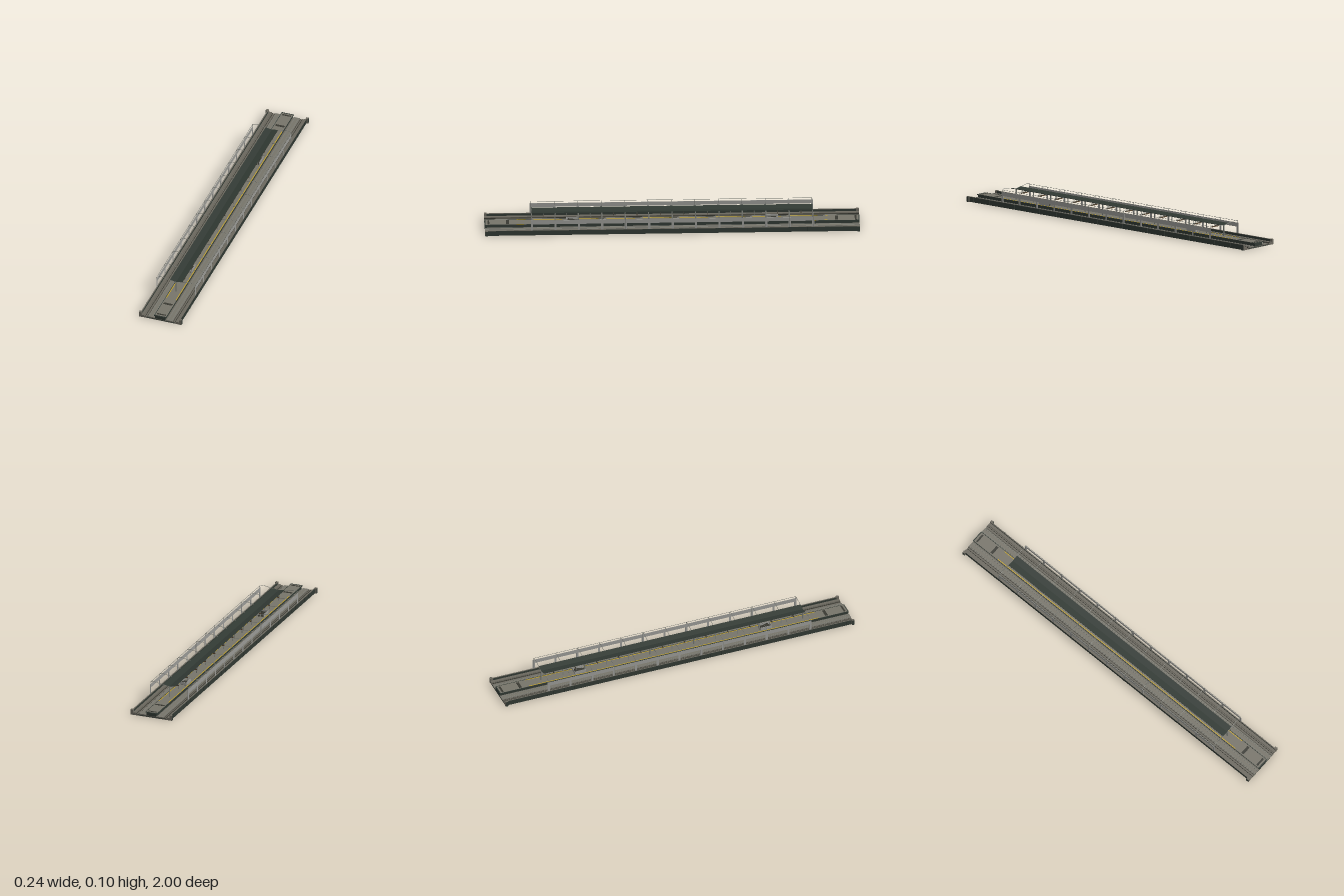
import * as THREE from 'three';

const paint = (name, color) => {
  const m = new THREE.MeshStandardMaterial({ color, side: THREE.DoubleSide });
  m.name = name;
  return m;
};

export function createModel() {
  const concrete = paint('concrete', 0x6b685e);
  const paleConcrete = paint('pale concrete', 0x77746a);
  const green = paint('dark green steel', 0x313933);
  const dark = paint('dark grey', 0x393932);
  const steel = paint('grey steel', 0x7d7f78);
  const panel = paint('pale panel', 0x989894);
  const yellow = paint('safety yellow', 0xd0aa1c);
  const brown = paint('sign brown', 0x5a4630);

  const model = new THREE.Group();
  model.name = 'elevatedStation';

  // Box given by its limits on each axis
  const box = (name, mat, x0, x1, y0, y1, z0, z1, parent = model) => {
    const mesh = new THREE.Mesh(new THREE.BoxGeometry(Math.abs(x1 - x0), y1 - y0, Math.abs(z1 - z0)), mat);
    mesh.position.set((x0 + x1) / 2, (y0 + y1) / 2, (z0 + z1) / 2);
    mesh.name = name;
    parent.add(mesh);
    return mesh;
  };
  const group = (name) => {
    const g = new THREE.Group();
    g.name = name;
    model.add(g);
    return g;
  };

  const HALF = 0.75;   // half length of the roofed part
  const BAY = 0.125;
  const frames = Array.from({ length: 13 }, (_, i) => -HALF + i * BAY);

  // Viaduct deck with girder panels on the soffit
  const deck = group('viaductDeck');
  box('deckSlab', concrete, -0.11, 0.11, 0.002, 0.009, -0.998, 0.998, deck);
  for (let i = 0; i < 16; i++) {
    const z = -0.9375 + i * 0.125;
    box('soffitRib', dark, -0.025, 0.025, 0.0008, 0.002, z - 0.006, z + 0.006, deck);
  }
  for (const s of [-1, 1]) {
    box('soffitGirder', dark, s * 0.025, s * 0.028, 0.0008, 0.002, -0.98, 0.98, deck);
  }
  for (const e of [-1, 1]) {
    box('endSill', concrete, -0.12, 0.12, 0, 0.009, e * 0.985, e * 0.999, deck);
    box('endSillBand', green, -0.08, 0.08, 0.0025, 0.006, e * 0.999, e, deck);
  }

  for (const s of [-1, 1]) {
    // Parapet wall, ribbed outside, with end pillars
    const wall = group(s > 0 ? 'leftParapet' : 'rightParapet');
    box('parapetWall', green, s * 0.107, s * 0.111, 0, 0.027, -0.99, 0.99, wall);
    box('parapetCap', concrete, s * 0.106, s * 0.1115, 0.027, 0.0285, -0.99, 0.99, wall);
    for (let i = 0; i < 33; i++) {
      const z = -0.96 + i * 0.06;
      box('parapetRib', green, s * 0.111, s * 0.1125, 0.002, 0.027, z - 0.002, z + 0.002, wall);
    }
    for (const e of [-1, 1]) {
      box('endPillar', concrete, s * 0.106, s * 0.12, 0, 0.0285, e * 0.985, e, wall);
      box('pillarFace', green, s * 0.12, s * 0.1203, 0, 0.0285, e * 0.985, e, wall);
    }

    // Service walkway and track bed with two running rails and a power rail
    const track = group(s > 0 ? 'leftTrack' : 'rightTrack');
    box('walkway', concrete, s * 0.091, s * 0.107, 0.009, 0.0145, -1, 1, track);
    box('trackBed', paleConcrete, s * 0.036, s * 0.07, 0.009, 0.0125, -1, 1, track);
    box('drain', dark, s * 0.0715, s * 0.0735, 0.009, 0.0098, -1, 1, track);
    for (const x of [0.042, 0.063]) {
      box('rail', steel, s * x, s * (x + 0.002), 0.0125, 0.0145, -1, 1, track);
    }
    box('powerRail', dark, s * 0.083, s * 0.0845, 0.009, 0.013, -1, 1, track);
  }

  // Island platform with yellow safety lines
  const platform = group('platform');
  box('platformCore', green, -0.028, 0.028, 0.009, 0.024, -1, 1, platform);
  box('platformEdge', green, -0.034, 0.034, 0.024, 0.0265, -1, 1, platform);
  box('platformFloor', paleConcrete, -0.0335, 0.0335, 0.0265, 0.0275, -0.998, 0.998, platform);
  for (const s of [-1, 1]) {
    box('edgeStripe', yellow, s * 0.0262, s * 0.0298, 0.0275, 0.0281, -0.83, 0.83, platform);
    box('edgeKerb', green, s * 0.0315, s * 0.0342, 0.0265, 0.0281, -1, 1, platform);
  }
  for (const e of [-1, 1]) {
    box('floorGrate', dark, -0.025, 0.025, 0.0275, 0.0281, e * 0.87, e * 0.885, platform);
    box('endGrate', dark, -0.025, 0.025, 0.0275, 0.0281, e * 0.975, e * 0.985, platform);
    box('endGuard', green, -0.034, 0.034, 0.0275, 0.0285, e * 0.995, e, platform);
  }

  // Stair enclosures: low walls around an open well
  for (const e of [-1, 1]) {
    const stair = group('stairEnclosure');
    const z0 = e * 0.5, z1 = e * 0.565;
    box('stairWell', dark, -0.018, 0.018, 0.0275, 0.0282, z0, z1, stair);
    for (const s of [-1, 1]) box('stairSide', panel, s * 0.018, s * 0.02, 0.0275, 0.044, z0, z1, stair);
    box('stairBack', panel, -0.018, 0.018, 0.0275, 0.044, z1 - e * 0.002, z1, stair);
    for (let i = 0; i < 5; i++) {
      const z = z0 + e * (0.01 + i * 0.009);
      box('stairStep', dark, -0.018, 0.018, 0.0282, 0.03 + i * 0.0018, z, z + e * 0.009, stair);
    }
  }

  // V-shaped canopy with pale gable ends
  const roof = new THREE.Shape([
    [-0.035, 0.0945], [0, 0.0875], [0.035, 0.0945], [0.035, 0.092], [0, 0.085], [-0.035, 0.092],
  ].map(([x, y]) => new THREE.Vector2(x, y)));
  const canopy = new THREE.Mesh(
    new THREE.ExtrudeGeometry(roof, { depth: HALF * 2, bevelEnabled: false }).translate(0, 0, -HALF),
    [steel, green]);
  canopy.name = 'canopy';
  model.add(canopy);

  // Portal frames: side posts bending over to the canopy, and a centre post
  const portals = group('portalFrames');
  const armPath = (s) => {
    const v = (x, y) => new THREE.Vector3(s * x, y, 0);
    const path = new THREE.CurvePath();
    path.add(new THREE.LineCurve3(v(0.109, 0.012), v(0.109, 0.094)));
    path.add(new THREE.QuadraticBezierCurve3(v(0.109, 0.094), v(0.109, 0.0975), v(0.105, 0.098)));
    path.add(new THREE.LineCurve3(v(0.105, 0.098), v(0.09, 0.1005)));
    path.add(new THREE.QuadraticBezierCurve3(v(0.09, 0.1005), v(0.085, 0.1012), v(0.08, 0.1)));
    path.add(new THREE.LineCurve3(v(0.08, 0.1), v(0, 0.0855)));
    return path;
  };
  const arms = [-1, 1].map((s) => new THREE.TubeGeometry(armPath(s), 48, 0.0012, 5));
  for (const z of frames) {
    for (const arm of arms) {
      const mesh = new THREE.Mesh(arm, steel);
      mesh.name = 'portalArm';
      mesh.position.z = z;
      portals.add(mesh);
    }
    box('centrePost', steel, -0.0018, 0.0018, 0.0275, 0.086, z - 0.003, z + 0.003, portals);
  }

  // Side screens between the posts, with top rail
  for (const s of [-1, 1]) {
    const screen = group(s > 0 ? 'leftScreen' : 'rightScreen');
    box('topRail', steel, s * 0.1082, s * 0.1098, 0.0948, 0.0962, -HALF, HALF, screen);
    for (const z of frames) {
      box('screenPost', panel, s * 0.108, s * 0.11, 0.0285, 0.085, z - 0.006, z + 0.006, screen);
    }
    for (const z of frames.slice(0, -1)) {
      box('screenPanel', panel, s * 0.1085, s * 0.1095, 0.063, 0.085, z + 0.002, z + BAY - 0.002, screen);
    }
  }

  // Hanging signs under the canopy
  const hanging = group('hangingFittings');
  for (const z of frames.slice(0, -1).map((f) => f + BAY / 2)) {
    box('signBoard', brown, -0.028, 0.028, 0.0705, 0.0755, z - 0.0015, z + 0.0015, hanging);
    box('signFrame', dark, -0.0285, 0.0285, 0.0755, 0.0768, z - 0.002, z + 0.002, hanging);
    for (const s of [-1, 1]) {
      box('signHanger', steel, s * 0.02, s * 0.0206, 0.0768, 0.091, z - 0.0004, z + 0.0004, hanging);
      box('edgeHanger', steel, s * 0.0325, s * 0.0332, 0.066, 0.0925, z - 0.0004, z + 0.0004, hanging);
    }
  }

  return model;
}
